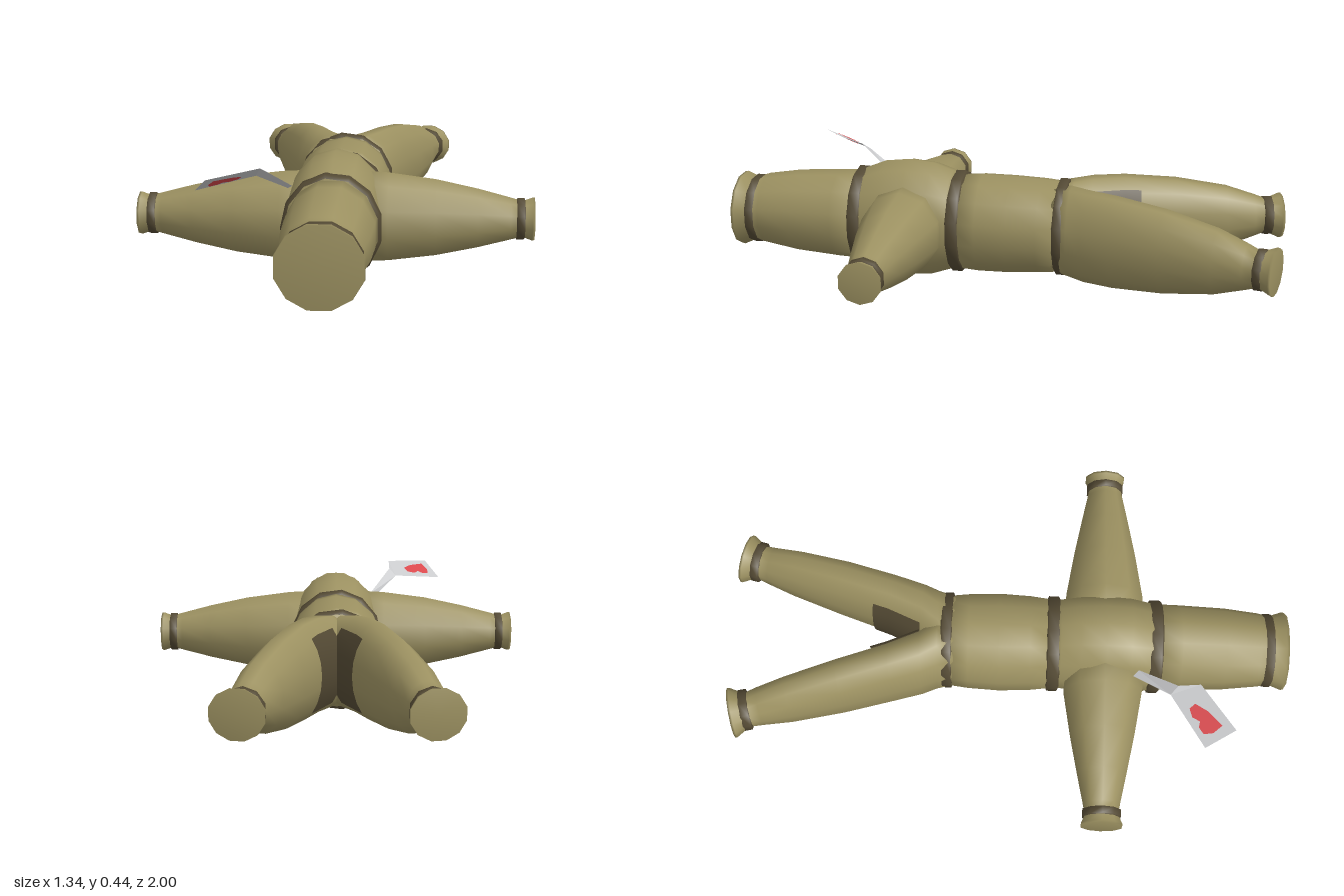
import * as THREE from 'three';

const burlap = new THREE.MeshStandardMaterial({ color: 0x9c9161 });
burlap.name = 'burlap';
const twine = new THREE.MeshStandardMaterial({ color: 0x544a34, side: THREE.DoubleSide });
twine.name = 'darkTwine';
const paper = new THREE.MeshStandardMaterial({ color: 0xc9cacc, side: THREE.DoubleSide });
paper.name = 'paper';
const red = new THREE.MeshStandardMaterial({ color: 0xd8484c, side: THREE.DoubleSide });
red.name = 'heartRed';

// Skin over elliptical sections [z, cx, cy, rx, ry, tilt], listed from low z to high z
function loft(sections, sides, { caps = true, from = Math.PI / sides, arc = Math.PI * 2 } = {}) {
  const pos = [], index = [], row = sides + 1;
  const full = arc > 6;
  const at = (i, j) => (full ? i * sides + (j % sides) : i * row + j);
  for (const [z, cx, cy, rx, ry, tilt = 0] of sections) {
    for (let j = 0; j < (full ? sides : row); j++) {
      const a = from + (arc * j) / sides;
      pos.push(cx + rx * Math.cos(a), cy + ry * Math.sin(a), z + tilt * rx * Math.cos(a));
    }
  }
  const last = sections.length - 1;
  for (let i = 0; i < last; i++) {
    for (let j = 0; j < sides; j++) {
      index.push(at(i, j), at(i, j + 1), at(i + 1, j + 1), at(i, j), at(i + 1, j + 1), at(i + 1, j));
    }
  }
  if (caps) {
    for (const i of [0, last]) {
      const c = pos.length / 3, [z, cx, cy] = sections[i];
      pos.push(cx, cy, z);
      for (let j = 0; j < sides; j++) {
        if (i === 0) index.push(c, at(i, j + 1), at(i, j));
        else index.push(c, at(i, j), at(i, j + 1));
      }
    }
  }
  const g = new THREE.BufferGeometry();
  g.setAttribute('position', new THREE.Float32BufferAttribute(pos, 3));
  g.setIndex(index);
  g.computeVertexNormals();
  return g;
}

// Bevelled cord wrapped around a limb
function band(z, cx, cy, rx, ry, half, sides, tilt = 0) {
  const rows = [[-1, 0.012], [-0.75, 0], [0.75, 0], [1, 0.012]].map(([k, d]) =>
    [z + k * half, cx - tilt * k * half, cy, rx - d, ry - d, tilt]);
  return loft(rows, sides, { caps: false });
}

// Flat polygon facets from corner points
function facets(points, faces) {
  const g = new THREE.BufferGeometry();
  g.setAttribute('position', new THREE.Float32BufferAttribute(faces.flat().flatMap(i => points[i]), 3));
  g.computeVertexNormals();
  return g;
}

export function createModel() {
  const model = new THREE.Group();
  model.name = 'ragDoll';
  const add = (parent, name, geometry, material) => {
    const m = new THREE.Mesh(geometry, material);
    m.name = name;
    parent.add(m);
    return m;
  };

  // Sack head, gathered at the crown
  add(model, 'head', loft([
    [0.50, 0, 0.22, 0.155, 0.167],
    [0.62, 0, 0.22, 0.153, 0.162],
    [0.78, 0, 0.22, 0.147, 0.150],
    [0.90, 0, 0.22, 0.134, 0.130],
    [0.945, 0, 0.217, 0.126, 0.118],
    [0.99, 0, 0.215, 0.142, 0.137],
    [1.00, 0, 0.215, 0.140, 0.135],
  ], 12), burlap);

  // Rounded chest
  add(model, 'chest', loft([
    [0.15, 0, 0.22, 0.155, 0.168],
    [0.19, 0, 0.222, 0.160, 0.187],
    [0.26, 0, 0.222, 0.168, 0.212],
    [0.35, 0, 0.223, 0.172, 0.220],
    [0.44, 0, 0.222, 0.168, 0.210],
    [0.51, 0, 0.221, 0.158, 0.182],
    [0.54, 0, 0.22, 0.150, 0.165],
  ], 14), burlap);

  // Belly
  add(model, 'belly', loft([
    [-0.24, 0, 0.224, 0.160, 0.163],
    [-0.14, 0, 0.223, 0.172, 0.172],
    [-0.03, 0, 0.221, 0.177, 0.178],
    [0.08, 0, 0.220, 0.171, 0.180],
    [0.18, 0, 0.220, 0.158, 0.174],
  ], 14), burlap);

  // Cords around the body
  add(model, 'crownCord', band(0.935, 0, 0.217, 0.133, 0.126, 0.020, 12), twine);
  add(model, 'neckCord', band(0.527, 0, 0.22, 0.168, 0.183, 0.024, 13), twine);
  add(model, 'waistCord', band(0.163, 0, 0.22, 0.172, 0.187, 0.024, 13), twine);
  add(model, 'hipCord', band(-0.217, 0, 0.224, 0.174, 0.176, 0.020, 13), twine);

  for (const s of [1, -1]) {
    const side = s > 0 ? 'left' : 'right';

    // Tapered arm with a flared, tied end
    const arm = new THREE.Group();
    arm.name = side + 'Arm';
    arm.position.set(0, 0.217, 0.346);
    arm.rotation.y = s * Math.PI / 2;
    add(arm, side + 'Sleeve', loft([
      [0.05, 0, 0, 0.155, 0.160],
      [0.18, 0, 0, 0.145, 0.153],
      [0.34, 0, 0, 0.118, 0.132],
      [0.48, 0, 0, 0.090, 0.102],
      [0.59, 0, 0, 0.067, 0.073],
      [0.63, 0, 0, 0.060, 0.062],
      [0.662, 0, 0, 0.075, 0.074],
      [0.67, 0, 0, 0.075, 0.074],
    ], 10), burlap);
    add(arm, side + 'WristCord', band(0.624, 0, 0, 0.070, 0.072, 0.016, 10), twine);
    model.add(arm);

    // Leg splaying outward, merging into the hips
    const T = 0.235 * s;
    add(model, side + 'Leg', loft([
      [-0.98, 0.300 * s, 0.218, 0.088, 0.082, T],
      [-0.972, 0.298 * s, 0.218, 0.088, 0.082, T],
      [-0.925, 0.287 * s, 0.219, 0.060, 0.062, T],
      [-0.88, 0.272 * s, 0.220, 0.066, 0.080, T],
      [-0.78, 0.243 * s, 0.221, 0.078, 0.116, T],
      [-0.60, 0.189 * s, 0.223, 0.089, 0.151, T],
      [-0.42, 0.132 * s, 0.224, 0.096, 0.168, T * 0.6],
      [-0.31, 0.090 * s, 0.224, 0.108, 0.169, T * 0.3],
      [-0.25, 0.050 * s, 0.224, 0.126, 0.166, 0],
      [-0.19, 0.020 * s, 0.224, 0.142, 0.160, 0],
    ], 12), burlap);
    add(model, side + 'AnkleCord', band(-0.93, 0.287 * s, 0.219, 0.072, 0.073, 0.018, 10, T), twine);

    // Stitched crotch patch hugging the inner thigh
    add(model, side + 'CrotchPatch', loft([
      [-0.475, 0.150 * s, 0.224, 0.101, 0.168, T * 0.7],
      [-0.42, 0.132 * s, 0.224, 0.102, 0.173, T * 0.6],
      [-0.31, 0.090 * s, 0.224, 0.113, 0.174, T * 0.3],
    ], 6, { caps: false, from: (s > 0 ? Math.PI : 0) - 0.85, arc: 1.7 }), twine);
  }

  // Pinned card on a tapered, bent stem
  const A = [-0.42, 0.375, 0.69], B = [-0.37, 0.43, 0.79];
  const C = [-0.215, 0.445, 0.67], D = [-0.24, 0.40, 0.57];
  const tag = new THREE.Group();
  tag.name = 'pinnedCard';
  add(tag, 'card', facets([A, B, C, D], [[0, 1, 2], [0, 2, 3]]), paper);
  add(tag, 'stem', facets(
    [D, C, [-0.215, 0.425, 0.595], [-0.158, 0.345, 0.445], [-0.135, 0.345, 0.465], [-0.15, 0.335, 0.455]],
    [[0, 1, 2], [0, 2, 4], [0, 4, 3], [0, 3, 5], [2, 5, 4], [0, 5, 2]]), paper);

  // Heart on both faces of the card, drawn in the card's own axes
  const outline = [[0.17, 0.75], [0.14, 0.42], [0.2, 0.18], [0.33, 0.17], [0.4, 0.29],
    [0.52, 0.17], [0.66, 0.24], [0.68, 0.45], [0.48, 0.63]];
  const a = new THREE.Vector3(...A);
  const u = new THREE.Vector3(...D).sub(a), v = new THREE.Vector3(...B).sub(a);
  const n = v.clone().cross(u).normalize();
  for (const k of [1, -1]) {
    const g = new THREE.ShapeGeometry(new THREE.Shape(outline.map(p => new THREE.Vector2(...p))));
    const p = g.attributes.position;
    for (let i = 0; i < p.count; i++) {
      const q = a.clone().addScaledVector(u, p.getX(i)).addScaledVector(v, p.getY(i)).addScaledVector(n, 0.003 * k);
      p.setXYZ(i, q.x, q.y, q.z);
    }
    g.computeVertexNormals();
    add(tag, k > 0 ? 'heartTop' : 'heartUnderside', g, red);
  }
  model.add(tag);
  return model;
}
